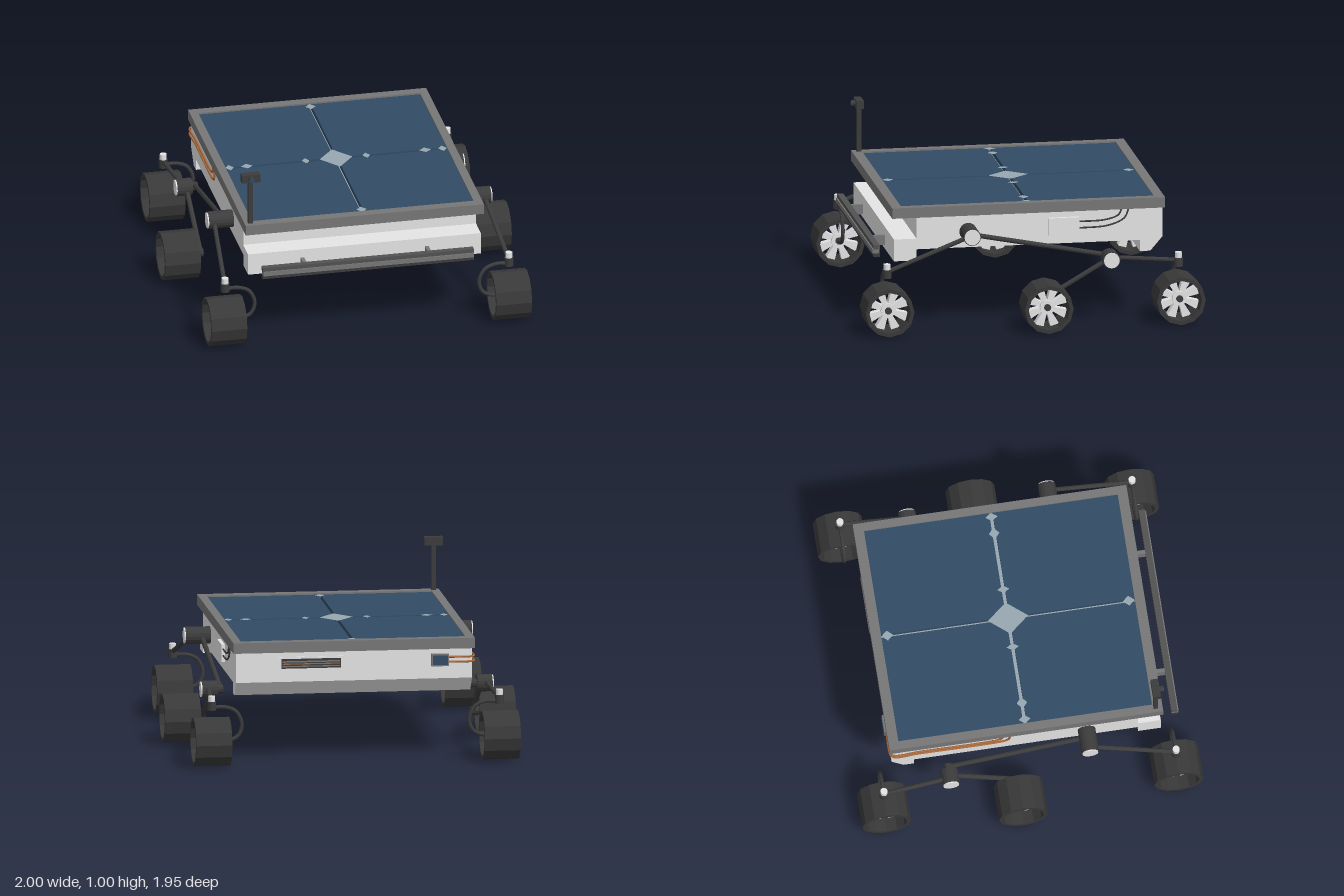
import * as THREE from 'three';

const mat = (name, color) => {
  const m = new THREE.MeshStandardMaterial({ color, flatShading: true });
  m.name = name;
  return m;
};

export function createModel() {
  const light = mat('light hull', 0xe5e5e5);
  const grey = mat('frame grey', 0x777777);
  const bumperGrey = mat('bumper grey', 0x525252);
  const dark = mat('dark metal', 0x3c3c3c);
  const tyre = mat('tyre', 0x393939);
  const blue = mat('solar blue', 0x314c65);
  const pale = mat('cell gap', 0x98a8b0);
  const copper = mat('copper', 0xa8683a);
  const root = new THREE.Group();
  root.name = 'rover';

  const add = (parent, name, geo, material) => {
    const m = new THREE.Mesh(geo, material);
    m.name = name;
    parent.add(m);
    return m;
  };
  // box given by its min and max on each axis
  const box = (parent, name, material, x0, x1, y0, y1, z0, z1) =>
    add(parent, name, new THREE.BoxGeometry(x1 - x0, y1 - y0, z1 - z0), material)
      .position.set((x0 + x1) / 2, (y0 + y1) / 2, (z0 + z1) / 2);
  // straight round bar between two points
  const bar = (parent, name, material, a, b, r, sides = 10) => {
    const p = new THREE.Vector3(...a), q = new THREE.Vector3(...b);
    const m = add(parent, name, new THREE.CylinderGeometry(r, r, p.distanceTo(q), sides), material);
    m.position.copy(p).add(q).multiplyScalar(0.5);
    m.quaternion.setFromUnitVectors(new THREE.Vector3(0, 1, 0), q.sub(p).normalize());
  };
  const tube = (parent, name, material, pts, r) => {
    const curve = new THREE.CatmullRomCurve3(pts.map(p => new THREE.Vector3(...p)), false, 'centripetal');
    add(parent, name, new THREE.TubeGeometry(curve, 32, r, 8), material);
  };
  // extrude a z-y outline along x, centred
  const extrudeX = (shape, width) =>
    new THREE.ExtrudeGeometry(shape, { depth: width, bevelEnabled: false })
      .rotateY(-Math.PI / 2).translate(width / 2, 0, 0);
  const outline = pts => new THREE.Shape(pts.map(p => new THREE.Vector2(...p)));

  // hull with front step and raised belly
  add(root, 'hull', extrudeX(outline([
    [0.64, 0.635], [0.64, 0.505], [0.77, 0.505], [0.77, 0.378], [0.64, 0.378], [0.64, 0.443],
    [-0.64, 0.443], [-0.64, 0.378], [-0.70, 0.378], [-0.77, 0.46], [-0.77, 0.635]]), 1.345), light);

  // solar deck: base, raised rim, pale floor and four cells with narrow gaps
  box(root, 'deckBase', grey, -0.688, 0.688, 0.63, 0.648, -0.782, 0.782);
  box(root, 'cellFloor', pale, -0.64, 0.64, 0.647, 0.655, -0.725, 0.725);
  for (const s of [-1, 1]) {
    box(root, 'deckRimSide', grey, s > 0 ? 0.64 : -0.688, s > 0 ? 0.688 : -0.64, 0.645, 0.69, -0.782, 0.782);
    box(root, 'deckRimEnd', grey, -0.64, 0.64, 0.645, 0.69, s > 0 ? 0.725 : -0.782, s > 0 ? 0.782 : -0.725);
    for (const t of [-1, 1])
      box(root, 'solarCell', blue, s > 0 ? 0.008 : -0.64, s > 0 ? 0.64 : -0.008, 0.65, 0.681,
        t > 0 ? 0.01 : -0.725, t > 0 ? 0.725 : -0.01);
  }
  // pale joint plates over the gaps
  const joint = (x, z, w, d) =>
    add(root, 'cellJoint', new THREE.ShapeGeometry(outline([[w, 0], [0, d], [-w, 0], [0, -d]]))
      .rotateX(-Math.PI / 2).translate(x, 0.6835, z), pale);
  joint(0, 0, 0.095, 0.115);
  for (const s of [-1, 1]) {
    joint(s * 0.175, 0, 0.022, 0.035);
    joint(s * 0.515, 0, 0.035, 0.03);
    joint(s * 0.615, 0, 0.025, 0.035);
    joint(0, s * 0.69, 0.03, 0.034);
  }

  // front bumper
  box(root, 'bumperTop', bumperGrey, -0.61, 0.61, 0.437, 0.46, 0.84, 0.875);
  box(root, 'bumperCore', grey, -0.608, 0.608, 0.412, 0.438, 0.842, 0.882);
  box(root, 'bumperBottom', dark, -0.61, 0.61, 0.392, 0.413, 0.84, 0.875);
  for (const s of [-1, 1]) box(root, 'bumperBracket', grey, s * 0.36 - 0.011, s * 0.36 + 0.011, 0.4, 0.455, 0.76, 0.845);

  // camera mast
  box(root, 'mast', dark, -0.668, -0.642, 0.68, 0.95, 0.73, 0.756);
  box(root, 'cameraHead', dark, -0.706, -0.6, 0.948, 0.995, 0.722, 0.765);
  bar(root, 'cameraBarrel', dark, [-0.653, 0.972, 0.76], [-0.653, 0.972, 0.785], 0.018);
  bar(root, 'cameraLens', blue, [-0.653, 0.972, 0.783], [-0.653, 0.972, 0.789], 0.014);

  // left side equipment box and hoses
  box(root, 'sideBox', light, 0.67, 0.692, 0.495, 0.595, -0.29, -0.115);
  tube(root, 'sideHose', dark, [[0.682, 0.568, -0.28], [0.682, 0.573, -0.44], [0.682, 0.598, -0.515], [0.682, 0.635, -0.535]], 0.005);
  tube(root, 'sideHose', dark, [[0.682, 0.53, -0.28], [0.682, 0.54, -0.46], [0.682, 0.58, -0.55], [0.682, 0.635, -0.575]], 0.005);

  // rear vent with louvres
  box(root, 'ventFrame', light, 0.06, 0.43, 0.525, 0.603, -0.776, -0.765);
  box(root, 'ventOpening', dark, 0.075, 0.415, 0.537, 0.592, -0.778, -0.772);
  box(root, 'ventLouvre', grey, 0.08, 0.41, 0.572, 0.58, -0.781, -0.775);
  box(root, 'ventLouvre', grey, 0.08, 0.41, 0.546, 0.552, -0.781, -0.775);
  box(root, 'ventBar', copper, 0.08, 0.41, 0.56, 0.566, -0.781, -0.775);

  // rear connector and copper pipes round the corner
  box(root, 'connectorHousing', grey, -0.54, -0.44, 0.532, 0.602, -0.79, -0.765);
  box(root, 'connectorFace', blue, -0.532, -0.448, 0.54, 0.594, -0.793, -0.787);
  for (const y of [0.555, 0.583]) {
    const end = y < 0.57 ? -0.09 : -0.13;
    tube(root, 'copperPipe', copper, [[-0.53, y, -0.777], [-0.66, y, -0.777], [-0.682, y, -0.765], [-0.682, y, -0.6],
      [-0.682, y, end - 0.06], [-0.682, y + 0.015, end - 0.015], [-0.682, 0.635, end]], 0.006);
  }

  // wheel: open twelve-sided rim, deep spokes, hub
  const ring = new THREE.Shape(), hole = new THREE.Path();
  for (let i = 0; i < 12; i++) {
    const a = i * Math.PI / 6, f = i ? 'lineTo' : 'moveTo';
    ring[f](0.14 * Math.cos(a), 0.14 * Math.sin(a));
    hole[f](0.118 * Math.cos(a), 0.118 * Math.sin(a));
  }
  ring.holes.push(hole);
  const rimGeo = extrudeX(ring, 0.205);
  const spokeGeo = extrudeX(outline([[-0.012, 0.03], [0.012, 0.03], [0.026, 0.119], [-0.026, 0.119]]), 0.05);
  const makeWheel = (parent, x, z) => {
    const w = new THREE.Group();
    w.name = 'wheel';
    w.position.set(x, 0.14, z);
    parent.add(w);
    add(w, 'rim', rimGeo, tyre);
    for (let i = 0; i < 8; i++) add(w, 'spoke', spokeGeo, light).rotation.x = (i + 0.5) * Math.PI / 4;
    bar(w, 'hub', light, [-0.04, 0, 0], [0.04, 0, 0], 0.042, 12);
    bar(w, 'hubCap', dark, [-0.05, 0, 0], [0.05, 0, 0], 0.02, 12);
  };

  // rocker-bogie suspension, built for +x and mirrored by sign
  for (const s of [1, -1]) {
    const g = new THREE.Group();
    g.name = s > 0 ? 'leftSuspension' : 'rightSuspension';
    root.add(g);
    const link = (name, m, a, b, r, n) => bar(g, name, m, [s * a[0], a[1], a[2]], [s * b[0], b[1], b[2]], r, n);
    link('rockerPivot', dark, [0.66, 0.535, 0.345], [0.815, 0.535, 0.345], 0.05, 16);
    link('rockerPivotCap', light, [0.814, 0.535, 0.345], [0.822, 0.535, 0.345], 0.045, 16);
    link('bogiePivot', dark, [0.74, 0.37, -0.452], [0.827, 0.37, -0.452], 0.05, 16);
    link('bogiePivotCap', light, [0.826, 0.37, -0.452], [0.834, 0.37, -0.452], 0.045, 16);
    link('bogieShaft', dark, [0.705, 0.37, -0.452], [0.75, 0.37, -0.452], 0.025);
    link('frontRocker', dark, [0.78, 0.535, 0.345], [0.82, 0.355, 0.835], 0.013);
    link('rearRocker', dark, [0.72, 0.53, 0.345], [0.72, 0.375, -0.452], 0.014);
    link('frontBogie', dark, [0.77, 0.37, -0.452], [0.77, 0.145, -0.065], 0.014);
    link('rearBogie', dark, [0.79, 0.38, -0.452], [0.82, 0.355, -0.835], 0.013);
    link('middleAxle', dark, [0.755, 0.14, -0.065], [0.89, 0.14, -0.065], 0.025);
    makeWheel(g, s * 0.8975, -0.065);

    // steered corner wheels with hooked forks
    for (const z of [0.835, -0.835]) {
      link('steeringPost', dark, [0.82, 0.32, z], [0.82, 0.37, z], 0.026, 12);
      link('steeringCap', light, [0.82, 0.365, z], [0.82, 0.402, z], 0.02, 12);
      tube(g, 'fork', dark, [[0.82, 0.335], [0.74, 0.335], [0.68, 0.308], [0.648, 0.235], [0.668, 0.172],
        [0.72, 0.145], [0.8, 0.14]].map(([x, y]) => [s * x, y, z]), 0.011);
      makeWheel(g, s * 0.8225, z);
    }
  }
  return root;
}
